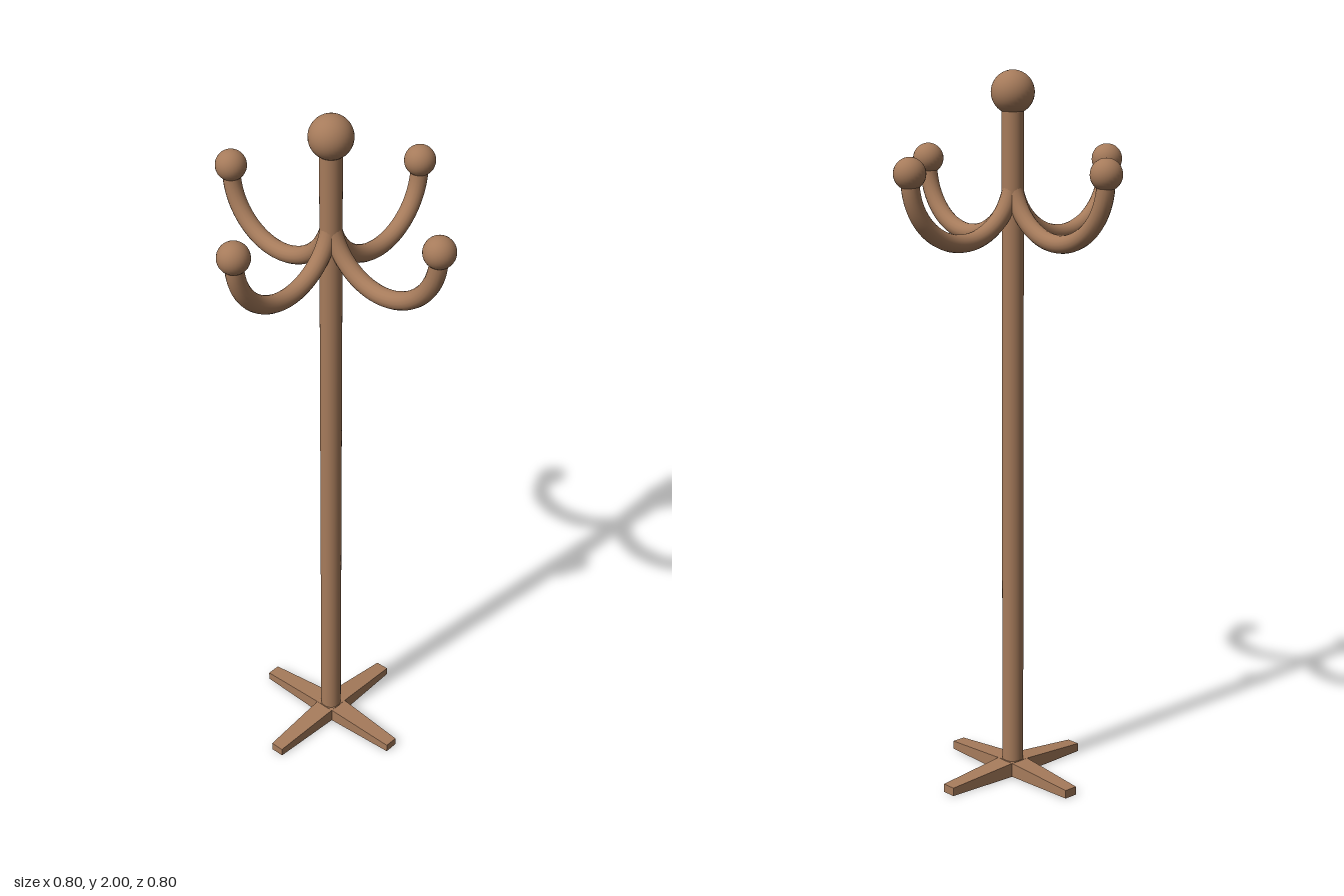
import * as THREE from 'three';

export function createModel() {
  const group = new THREE.Group();
  group.name = 'coatStand';
  const wood = new THREE.MeshStandardMaterial({ color: 0xa67b5b });
  wood.name = 'brown wood';

  const add = (parent, name, geometry, x = 0, y = 0, z = 0) => {
    const mesh = new THREE.Mesh(geometry, wood);
    mesh.name = name;
    mesh.position.set(x, y, z);
    parent.add(mesh);
    return mesh;
  };

  // Upright pole and its round finial
  const poleBottom = 0.03, poleTop = 1.91;
  add(group, 'pole', new THREE.CylinderGeometry(0.03, 0.03, poleTop - poleBottom, 32),
    0, (poleBottom + poleTop) / 2, 0);
  add(group, 'topBall', new THREE.SphereGeometry(0.059, 32, 20), 0, 1.941, 0);

  // Hook: a half ring curving down from the pole and up to its ball
  const ringRadius = 0.178, ringY = 1.728;
  const hookShape = new THREE.TorusGeometry(ringRadius, 0.0245, 16, 40, Math.PI);
  hookShape.rotateX(Math.PI);
  const ballShape = new THREE.SphereGeometry(0.043, 28, 18);

  // Foot: a bar that gets narrower and lower toward its tip
  const footLength = 0.243;
  const footShape = new THREE.BoxGeometry(footLength, 1, 1);
  const pos = footShape.attributes.position;
  for (let i = 0; i < pos.count; i++) {
    const tip = pos.getX(i) > 0;
    pos.setXYZ(i,
      tip ? footLength : 0,
      pos.getY(i) > 0 ? (tip ? 0.024 : 0.043) : 0,
      Math.sign(pos.getZ(i)) * (tip ? 0.02 : 0.031));
  }
  footShape.computeVertexNormals();

  // Four hooks and four feet around the pole
  ['left', 'back', 'right', 'front'].forEach((side, i) => {
    const arm = new THREE.Group();
    arm.name = side + 'Arm';
    arm.rotation.y = i * Math.PI / 2;
    add(arm, side + 'Hook', hookShape, ringRadius, ringY, 0);
    add(arm, side + 'HookBall', ballShape, 0.357, 1.745, 0);
    add(arm, side + 'Foot', footShape);
    group.add(arm);
  });

  return group;
}
